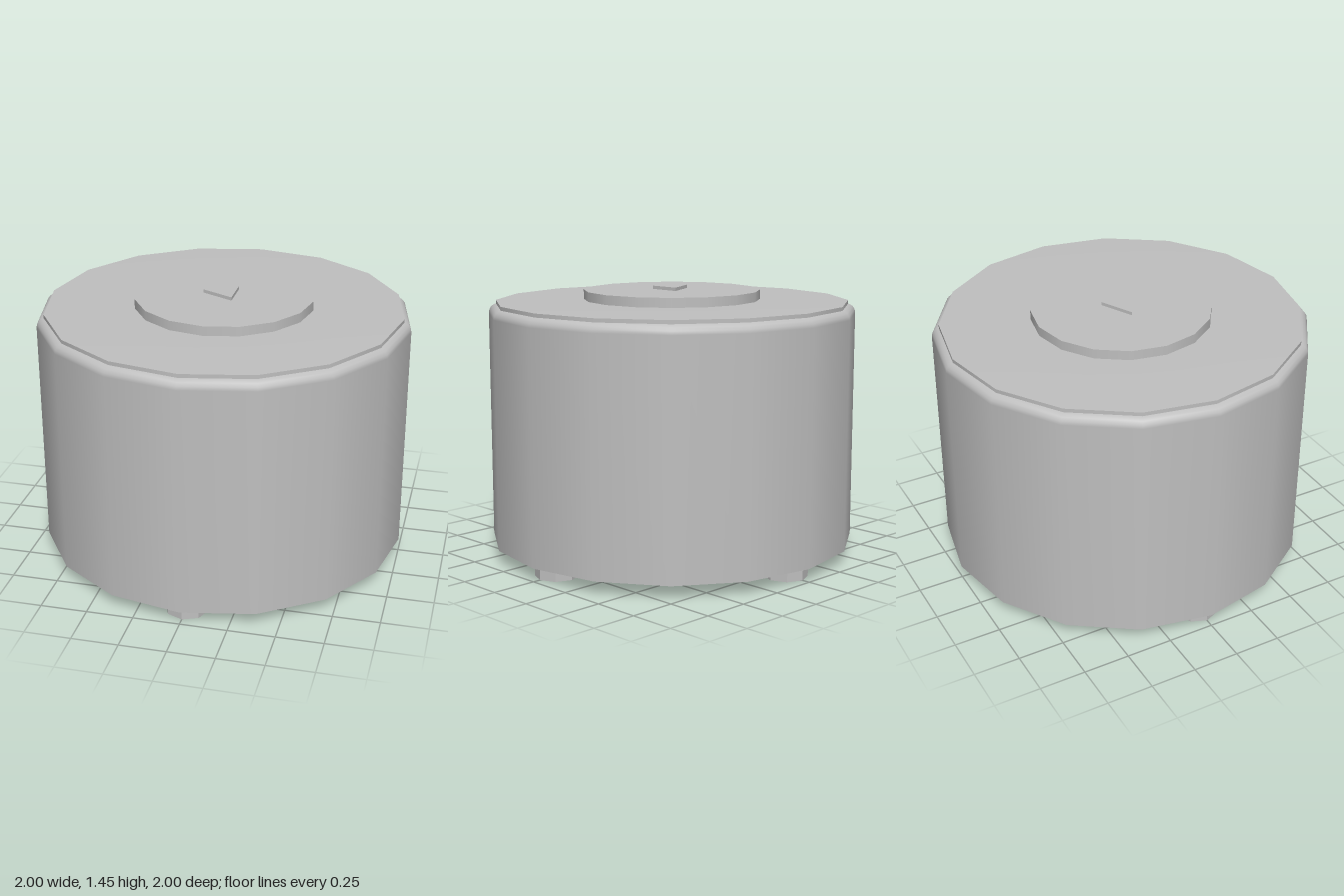
import * as THREE from 'three';

const SIDES = 16;

export function createModel() {
  const model = new THREE.Group();
  const grey = new THREE.MeshStandardMaterial({ color: 0xbfbfbf });
  grey.name = 'plain grey';

  const add = (name, geometry, x = 0, y = 0, z = 0) => {
    const mesh = new THREE.Mesh(geometry, grey);
    mesh.name = name;
    mesh.position.set(x, y, z);
    model.add(mesh);
    return mesh;
  };
  const lathe = (points) =>
    new THREE.LatheGeometry(points.map(([r, y]) => new THREE.Vector2(r, y)), SIDES);

  // Drum wall with a rounded shoulder
  const wall = [[1, 0.07], [1, 1.31]];
  for (let i = 1; i <= 4; i++) {
    const a = (i / 4) * Math.PI / 2;
    wall.push([0.95 + 0.05 * Math.cos(a), 1.31 + 0.05 * Math.sin(a)]);
  }
  add('bodyWall', lathe(wall));

  // Flat underside
  const base = new THREE.CircleGeometry(1, SIDES);
  base.rotateX(Math.PI / 2);
  add('bodyBase', base, 0, 0.07, 0);

  // Thin lid: rim and very slightly domed top
  add('lidRim', new THREE.CylinderGeometry(0.96, 0.96, 0.022, SIDES), 0, 1.367, 0);
  add('lidTop', lathe([[0.96, 1.378], [0.75, 1.382], [0.45, 1.385], [0, 1.386]]));

  // Raised central disc
  add('centreDisc', new THREE.CylinderGeometry(0.48, 0.48, 0.055, SIDES), 0, 1.4085, 0);

  // Triangular pointer, tip toward -x
  const tri = new THREE.Shape();
  tri.moveTo(-0.116, 0);
  tri.lineTo(0.058, -0.087);
  tri.lineTo(0.058, 0.087);
  tri.closePath();
  const pointer = new THREE.ExtrudeGeometry(tri, { depth: 0.018, bevelEnabled: false });
  pointer.rotateX(-Math.PI / 2);
  add('pointer', pointer, 0, 1.436, 0);

  // Four octagonal feet
  const footGeometry = new THREE.CylinderGeometry(0.116, 0.116, 0.075, 8).toNonIndexed();
  footGeometry.computeVertexNormals();
  for (let i = 0; i < 4; i++) {
    const a = (i * Math.PI) / 2;
    add('foot' + (i + 1), footGeometry, 0.84 * Math.cos(a), 0.0375, 0.84 * Math.sin(a));
  }

  return model;
}
